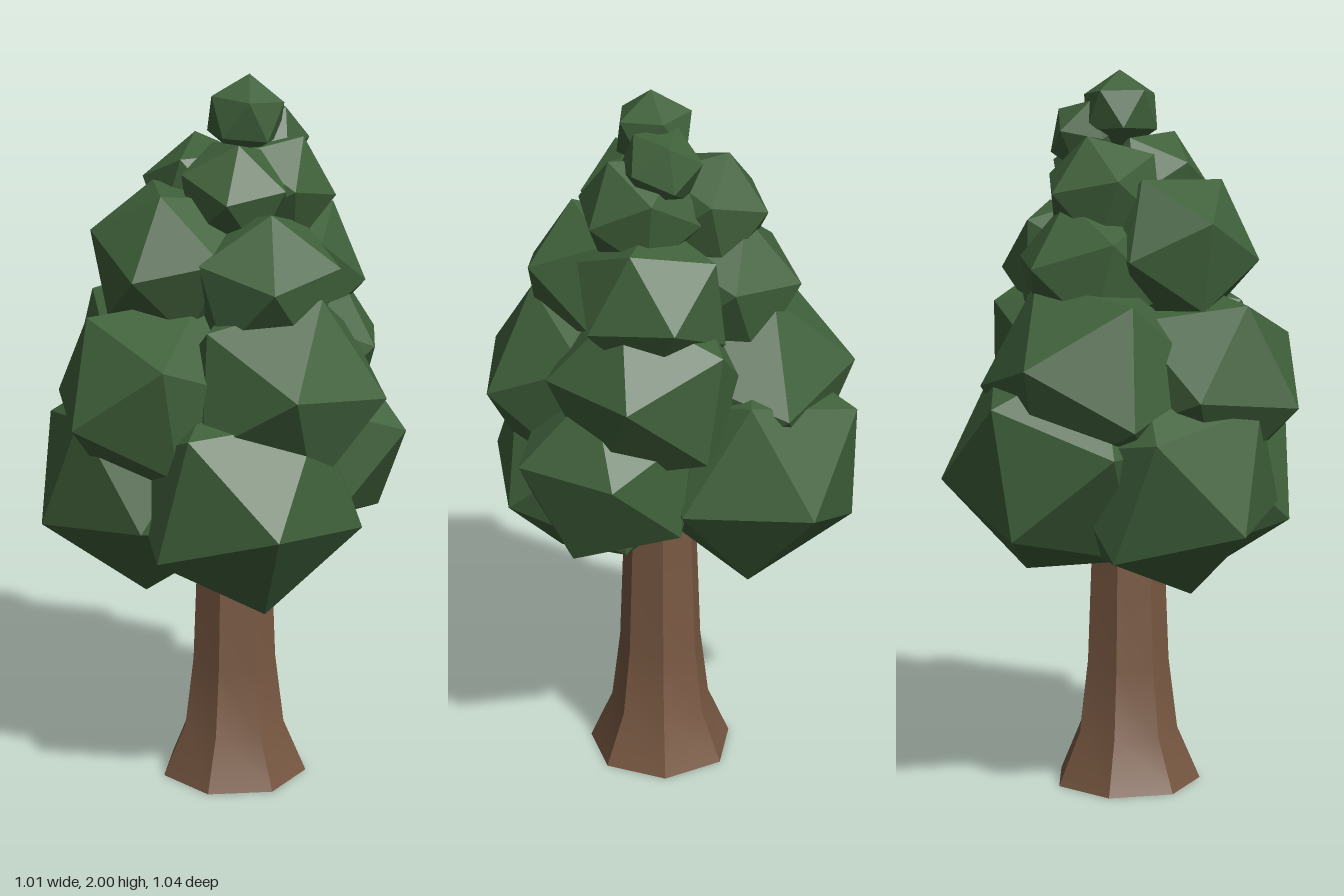
import * as THREE from 'three';
import { toCreasedNormals } from 'three/addons/utils/BufferGeometryUtils.js';

// The trunk is an open shell, so it shows from both sides
const bark = new THREE.MeshStandardMaterial({ color: 0x785842, side: THREE.DoubleSide });
bark.name = 'bark brown';
const leaf = new THREE.MeshStandardMaterial({ color: 0x40613b, flatShading: true });
leaf.name = 'leaf green';

// Orthonormal frame: first axis along a, second axis in the plane of a and b
function frame(a, b) {
  const x = a.clone().normalize();
  const z = x.clone().cross(b).normalize();
  const y = z.clone().cross(x);
  return new THREE.Matrix4().makeBasis(x, y, z);
}

// Two neighbouring corners of the standard icosahedron
const PHI = (1 + Math.sqrt(5)) / 2;
const fromCorners = frame(new THREE.Vector3(-1, PHI, 0), new THREE.Vector3(1, PHI, 0)).invert();

// Leaf clump: centre, radius, direction of one corner and rough direction of its neighbour
function clump([center, radius, aim, next]) {
  const mesh = new THREE.Mesh(new THREE.IcosahedronGeometry(radius, 0), leaf);
  const turn = frame(new THREE.Vector3(...aim), new THREE.Vector3(...next)).multiply(fromCorners);
  mesh.quaternion.setFromRotationMatrix(turn);
  mesh.position.set(...center);
  return mesh;
}

const tiers = {
  lowerFoliage: [
    [[0.07, 0.9, 0.21], 0.337, [0.133, -0.04, 0.31], [0.07, -0.31, 0.09]],
    [[-0.21, 0.91, 0.07], 0.337, [-0.277, -0.123, 0.15], [-0.292, 0.137, -0.1]],
    [[-0.13, 0.95, -0.2], 0.337, [0.075, -0.05, -0.32], [0.09, -0.3, -0.1]],
    [[0.235, 0.99, -0.03], 0.28, [0.26, 0.05, 0.07], [0.17, -0.19, -0.05]],
  ],
  middleFoliage: [
    [[-0.17, 1.16, 0.18], 0.295, [-0.185, -0.05, 0.21], [0.08, -0.19, 0.24]],
    [[0.16, 1.18, 0.17], 0.302, [0.08, 0.04, 0.285], [0.3, 0, 0.05]],
    [[0.16, 1.23, -0.1], 0.285, [0.23, 0.03, -0.17], [-0.04, 0.13, -0.23]],
    [[-0.17, 1.17, -0.12], 0.315, [-0.21, 0.06, -0.235], [-0.305, -0.08, 0]],
  ],
  upperFoliage: [
    [[0.12, 1.46, 0.15], 0.222, [0.05, 0.02, 0.21], [0.03, 0.17, 0.1]],
    [[-0.14, 1.52, 0.11], 0.23, [-0.2, 0.08, 0.05], [-0.21, -0.12, 0.05]],
    [[0.15, 1.46, -0.1], 0.225, [0.22, -0.03, 0], [0.14, 0.15, -0.05]],
    [[-0.1, 1.45, -0.11], 0.222, [-0.11, 0.03, -0.19], [0.1, 0.05, -0.19]],
  ],
  crownFoliage: [
    [[0.03, 1.69, 0.08], 0.165, [0, 0, 0.15], [0.02, 0.14, 0.06]],
    [[0.12, 1.69, -0.02], 0.175, [0.16, -0.01, 0], [0.08, 0.13, 0.02]],
    [[-0.07, 1.66, -0.07], 0.18, [-0.17, 0.05, 0], [-0.03, 0.15, -0.05]],
    [[0.1, 1.82, -0.08], 0.115, [0.04, 0.08, -0.08], [0.04, -0.03, -0.1]],
    [[0.05, 1.89, 0], 0.115, [0.01, 0.11, 0], [0.02, 0.03, 0.1]],
  ],
};

export function createModel() {
  const tree = new THREE.Group();
  tree.name = 'tree';

  // Seven-sided open trunk flaring out at the foot, smooth along its height
  const profile = [[0.21, 0], [0.145, 0.15], [0.12, 0.35], [0.108, 0.65], [0.1, 0.85], [0.08, 1.2]];
  const shell = new THREE.LatheGeometry(profile.map(([r, y]) => new THREE.Vector2(r, y)), 7, Math.PI / 2);
  const trunk = new THREE.Mesh(toCreasedNormals(shell, 0.6), bark);
  trunk.name = 'trunk';
  trunk.position.set(0.02, 0, 0.01);
  tree.add(trunk);

  // Foliage in tiers of faceted clumps
  for (const [name, clumps] of Object.entries(tiers)) {
    const tier = new THREE.Group();
    tier.name = name;
    clumps.forEach((spec, i) => {
      const mesh = clump(spec);
      mesh.name = `leafClump${i + 1}`;
      tier.add(mesh);
    });
    tree.add(tier);
  }
  return tree;
}
